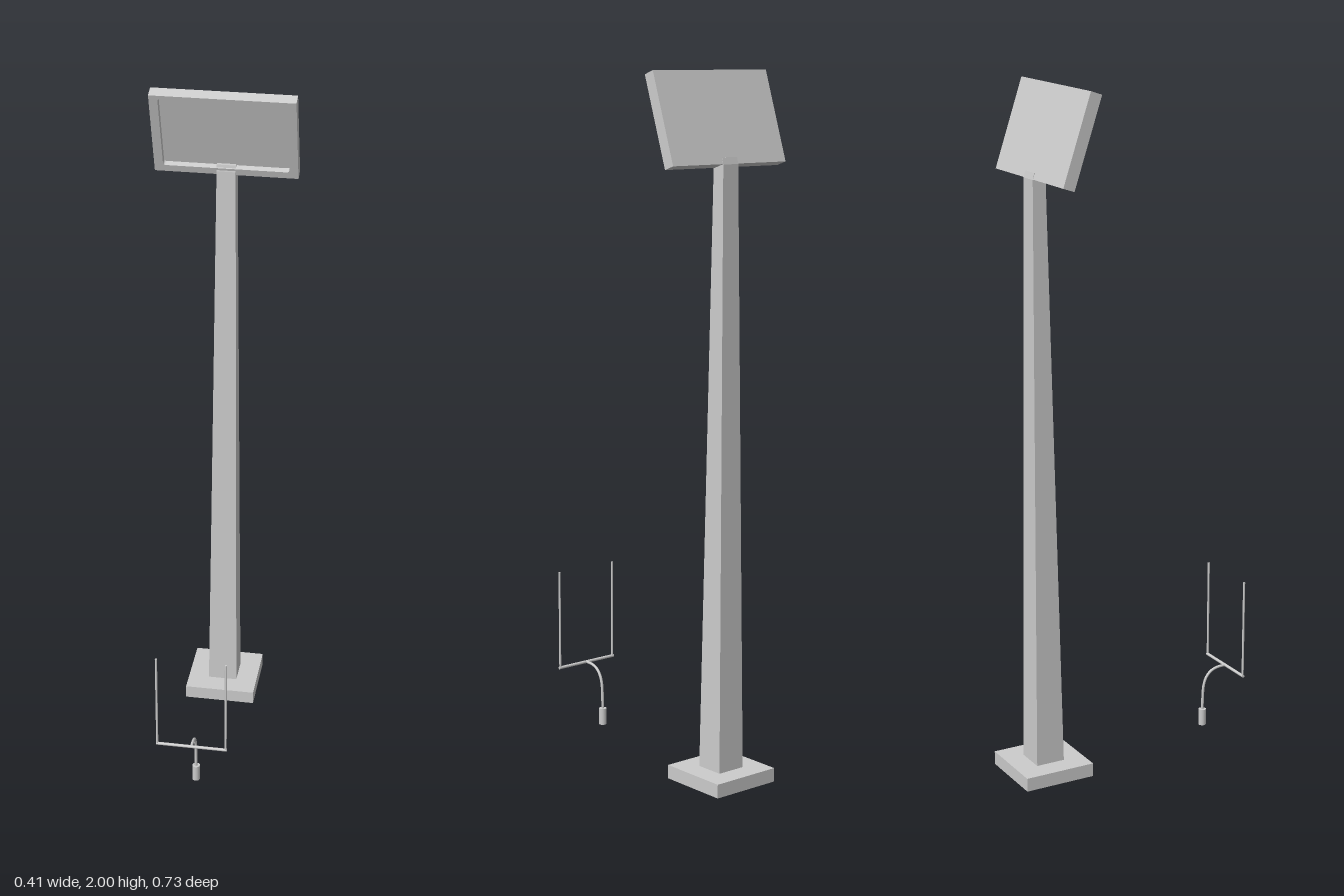
import * as THREE from 'three';

const flat = new THREE.MeshStandardMaterial({ color: 0xcccccc, flatShading: true });
const smooth = new THREE.MeshStandardMaterial({ color: 0xcccccc });

function add(parent, name, geometry, material, x = 0, y = 0, z = 0) {
  const mesh = new THREE.Mesh(geometry, material);
  mesh.name = name;
  mesh.position.set(x, y, z);
  parent.add(mesh);
  return mesh;
}

// Rectangle path with optionally rounded corners
function roundedRect(path, x0, y0, x1, y1, r) {
  path.moveTo(x0 + r, y0);
  path.lineTo(x1 - r, y0);
  path.quadraticCurveTo(x1, y0, x1, y0 + r);
  path.lineTo(x1, y1 - r);
  path.quadraticCurveTo(x1, y1, x1 - r, y1);
  path.lineTo(x0 + r, y1);
  path.quadraticCurveTo(x0, y1, x0, y1 - r);
  path.lineTo(x0, y0 + r);
  path.quadraticCurveTo(x0, y0, x0 + r, y0);
  return path;
}

// Four-sided column through rings of [y, halfWidth, zBack, zFront]
function column(rings) {
  const geometry = new THREE.BoxGeometry(1, 1, 1, 1, rings.length - 1, 1);
  const p = geometry.attributes.position;
  for (let i = 0; i < p.count; i++) {
    const k = Math.round((p.getY(i) + 0.5) * (rings.length - 1));
    const [y, half, back, front] = rings[k];
    p.setXYZ(i, Math.sign(p.getX(i)) * half, y, p.getZ(i) > 0 ? front : back);
  }
  geometry.computeVertexNormals();
  return geometry;
}

function createScoreboard() {
  const board = new THREE.Group();
  board.name = 'scoreboard';
  const halfWidth = 0.203, height = 0.263, depth = 0.035, recess = 0.018;

  // Frame around the recessed screen
  const outline = new THREE.Shape([
    new THREE.Vector2(-halfWidth, 0), new THREE.Vector2(halfWidth, 0),
    new THREE.Vector2(halfWidth, height), new THREE.Vector2(-halfWidth, height),
  ]);
  outline.holes.push(roundedRect(new THREE.Path(), -0.178, 0.021, 0.178, 0.252, 0.008));
  const frame = new THREE.ExtrudeGeometry(outline, { depth: recess, bevelEnabled: false, curveSegments: 4 });
  add(board, 'screenFrame', frame, flat, 0, 0, -recess);

  // Solid back, whose front face is the screen
  const back = new THREE.BoxGeometry(halfWidth * 2, height, depth - recess);
  add(board, 'screenBack', back, flat, 0, height / 2, -(depth + recess) / 2);

  board.position.set(0, 1.735, -0.254);
  board.rotation.x = 0.323;
  return board;
}

function createGoalPost() {
  const goal = new THREE.Group();
  goal.name = 'goalPost';
  add(goal, 'goalFoot', new THREE.CylinderGeometry(0.0115, 0.0115, 0.05, 16), smooth, 0, 0.054, 0.282);

  // Curved neck from the foot forward to the crossbar
  const neck = new THREE.CatmullRomCurve3([
    [0.075, 0.282], [0.12, 0.283], [0.155, 0.286], [0.18, 0.295],
    [0.197, 0.311], [0.205, 0.332], [0.207, 0.361],
  ].map(([y, z]) => new THREE.Vector3(0, y, z)));
  add(goal, 'neck', new THREE.TubeGeometry(neck, 32, 0.0042, 10), smooth);

  const bar = add(goal, 'crossbar', new THREE.CylinderGeometry(0.0045, 0.0045, 0.208, 12), smooth, 0, 0.207, 0.361);
  bar.rotation.z = Math.PI / 2;
  for (const [side, name] of [[1, 'leftUpright'], [-1, 'rightUpright']]) {
    add(goal, name, new THREE.CylinderGeometry(0.0033, 0.0033, 0.298, 10), smooth, side * 0.1005, 0.356, 0.361);
  }
  return goal;
}

export function createModel() {
  const model = new THREE.Group();
  model.name = 'scoreboardAndGoal';

  add(model, 'base', new THREE.BoxGeometry(0.214, 0.04, 0.214), flat, 0, 0.02, -0.261);
  // Tapered pole with a chamfered tip that reaches into the board
  add(model, 'pole', column([
    [0.04, 0.044, -0.304, -0.217],
    [1.745, 0.027, -0.288, -0.249],
    [1.764, 0.027, -0.283, -0.252],
  ]), flat);
  model.add(createScoreboard(), createGoalPost());
  return model;
}
